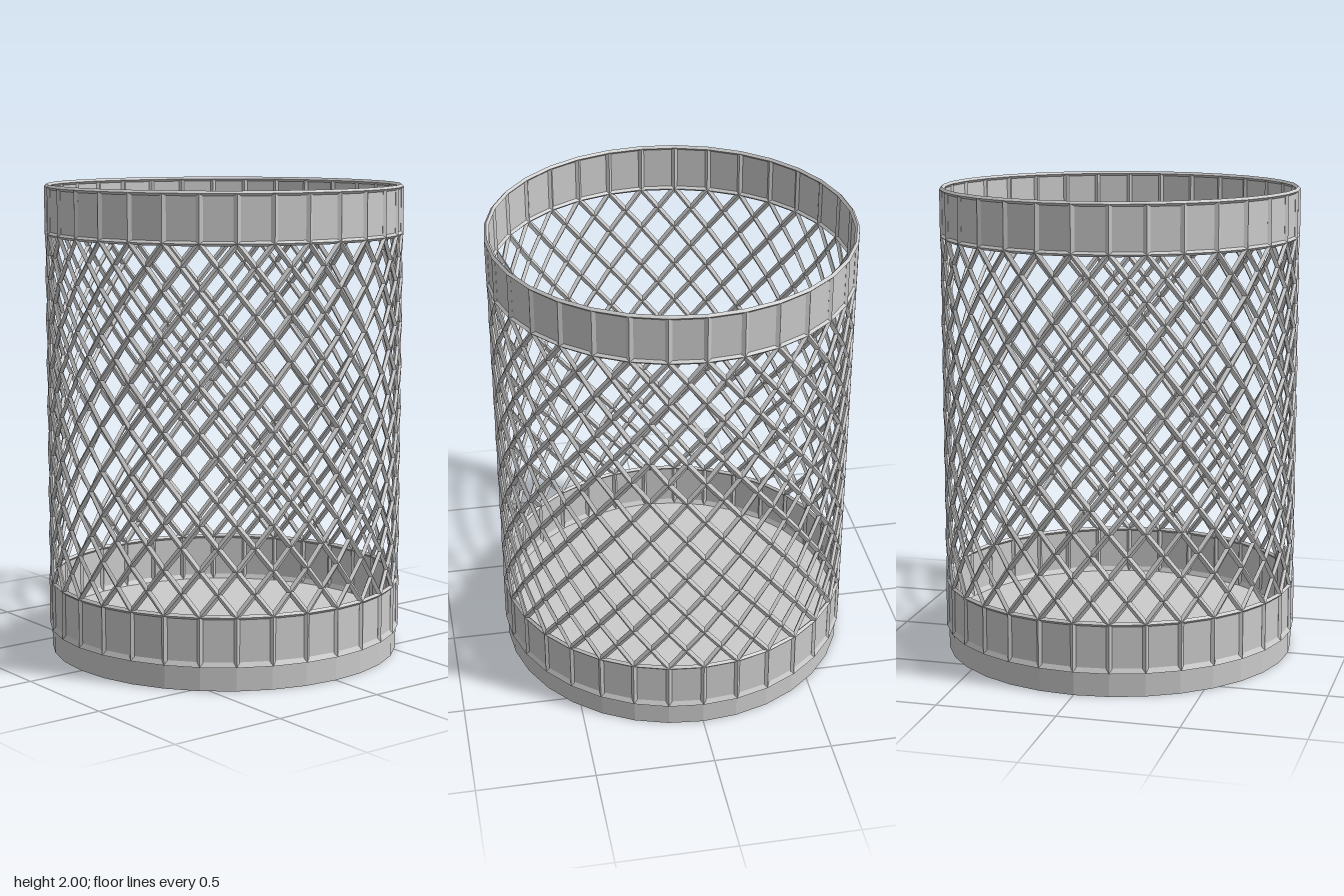
import * as THREE from 'three';
import { mergeGeometries } from 'three/addons/utils/BufferGeometryUtils.js';

const SIDES = 32, RADIUS = 0.75, HEIGHT = 2;
const BASE_TOP = 0.1, BAND = 0.205, LATTICE_ROWS = 8;
const STEP = (Math.PI * 2) / SIDES;
const OUT = 0.01;

// wire cross-sections as [radial, sideways] offsets
const diamond = (wide) => [[OUT, 0], [0, wide], [-OUT, 0], [0, -wide]];
const BOTTOM_LIP = [[OUT, 0], [0, 0.02], [-OUT, 0]];

const radial = (a) => new THREE.Vector3(Math.sin(a), 0, Math.cos(a));
const onWall = ([col, y]) => radial(col * STEP).multiplyScalar(RADIUS).setY(y);

// sweeps a cross-section along [column, height] stops on the wall
function wire(stops, section, closed = false) {
  const pts = stops.map(onWall);
  const n = pts.length, m = section.length;
  const pos = [], index = [];
  pts.forEach((p, i) => {
    const next = pts[closed ? (i + 1) % n : Math.min(i + 1, n - 1)];
    const prev = pts[closed ? (i + n - 1) % n : Math.max(i - 1, 0)];
    const r = radial(stops[i][0] * STEP);
    const s = r.clone().cross(next.clone().sub(prev)).normalize();
    for (const [u, v] of section) {
      const q = p.clone().addScaledVector(r, u).addScaledVector(s, v);
      pos.push(q.x, q.y, q.z);
    }
  });
  for (let i = 0; i < (closed ? n : n - 1); i++) {
    for (let k = 0; k < m; k++) {
      const j = (i + 1) % n, l = (k + 1) % m;
      const a = i * m + k, b = i * m + l, c = j * m + l, d = j * m + k;
      index.push(a, d, b, b, d, c);
    }
  }
  const g = new THREE.BufferGeometry();
  g.setAttribute('position', new THREE.Float32BufferAttribute(pos, 3));
  g.setIndex(index);
  const flat = g.toNonIndexed();
  flat.computeVertexNormals();
  return flat;
}

const ring = (y, section) =>
  wire(Array.from({ length: SIDES }, (_, i) => [i, y]), section, true);

export function createModel() {
  const group = new THREE.Group();
  const solid = new THREE.MeshStandardMaterial({ color: 0xcccccc, flatShading: true });
  const thin = new THREE.MeshStandardMaterial({
    color: 0xcccccc, flatShading: true, side: THREE.DoubleSide,
  });
  const add = (name, geometry, material = solid) => {
    const mesh = new THREE.Mesh(geometry, material);
    mesh.name = name;
    group.add(mesh);
    return mesh;
  };

  // solid floor disc
  add('base', new THREE.CylinderGeometry(RADIUS, RADIUS, BASE_TOP, SIDES))
    .position.y = BASE_TOP / 2;

  // sheet bands at the bottom and top, each with upright ribs
  const rimY = HEIGHT - 0.01;
  const lowY = BASE_TOP + BAND, highY = HEIGHT - BAND;
  for (const [name, y0, y1, wide] of [
    ['lower', BASE_TOP, lowY, 0.012], ['upper', highY, rimY, 0.014],
  ]) {
    add(name + 'Band', new THREE.CylinderGeometry(RADIUS, RADIUS, y1 - y0, SIDES, 1, true), thin)
      .position.y = (y0 + y1) / 2;
    const ribs = [];
    for (let i = 0; i < SIDES; i++) ribs.push(wire([[i, y0], [i, y1]], diamond(wide)));
    add(name + 'BandRibs', mergeGeometries(ribs));
  }

  // hoops along the band edges
  add('bottomHoop', ring(BASE_TOP, BOTTOM_LIP));
  add('lowerHoop', ring(lowY, diamond(0.01)));
  add('upperHoop', ring(highY, diamond(0.01)));
  add('rimHoop', ring(rimY, diamond(0.01)));

  // two mirrored sets of diagonal wires crossing into a mesh, a quarter turn each
  const rise = (highY - lowY) / LATTICE_ROWS;
  for (const [name, dir] of [['leftLeaningWires', 1], ['rightLeaningWires', -1]]) {
    const wires = [];
    for (let i = 0; i < SIDES; i++) {
      const stops = [];
      for (let k = 0; k <= LATTICE_ROWS; k++) stops.push([i + dir * k, lowY + k * rise]);
      wires.push(wire(stops, diamond(0.013)));
    }
    add(name, mergeGeometries(wires));
  }
  return group;
}
